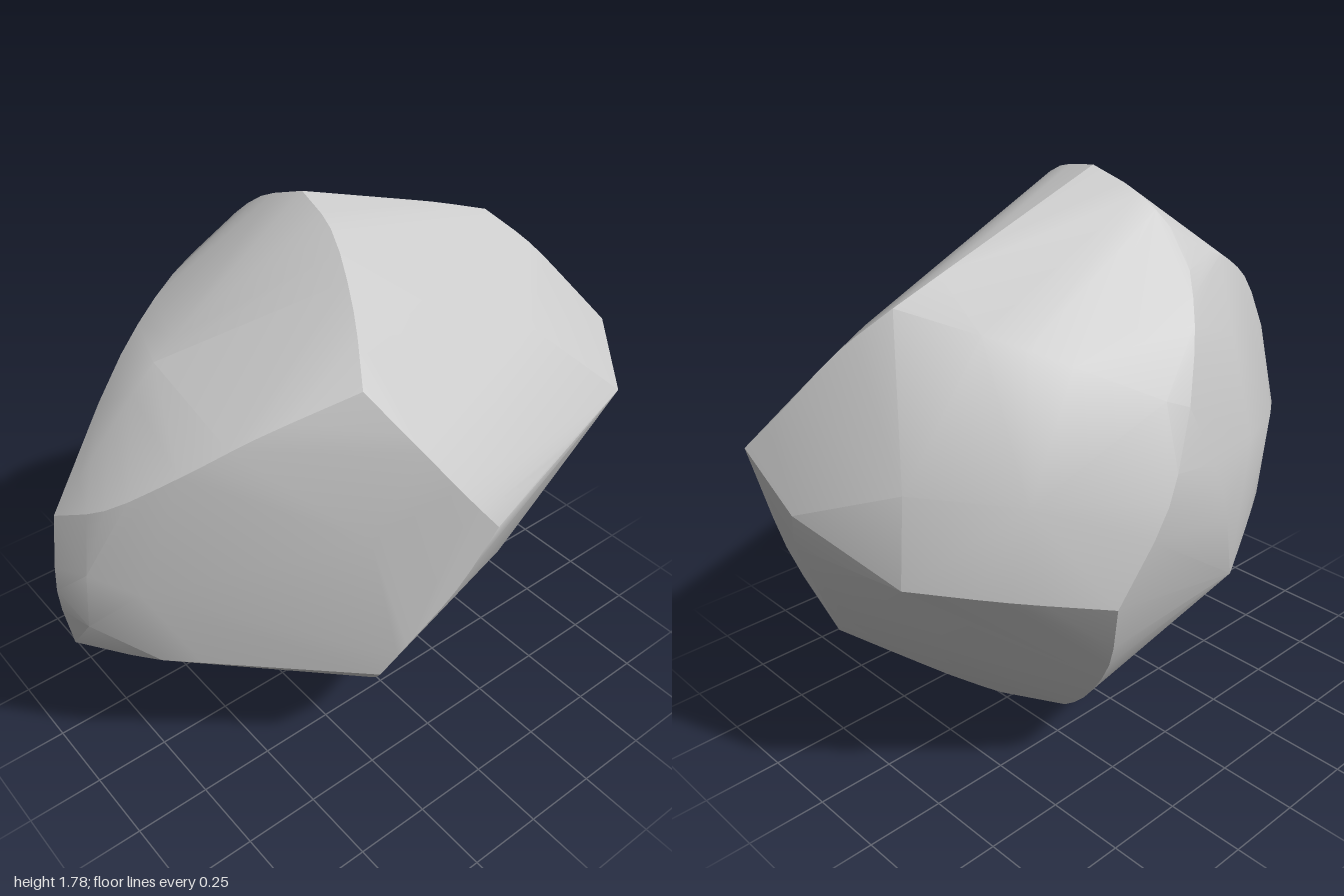
import * as THREE from 'three';
import { ConvexGeometry } from 'three/addons/geometries/ConvexGeometry.js';
import { toCreasedNormals } from 'three/addons/utils/BufferGeometryUtils.js';

const V = (x, y, z) => new THREE.Vector3(x, y, z);

// Corners where the broad facets of the boulder meet
const peak = V(-0.06, 1.785, -0.08);
const base = V(0.05, 0, -0.02);
const brow = V(-0.29, 1.49, 0.47);
const frontTop = V(0.03, 1.01, 0.7);
const frontLow = V(-0.28, 0.49, 0.56);
const frontSide = V(0.88, 0.97, 0.42);
const sideTop = V(1.0, 1.11, 0.22);
const sideLow = V(0.8, 0.46, 0.14);
const sideBack = V(0.87, 0.82, -0.295);
const shoulder = V(0.68, 1.51, -0.07);
const backTop = V(0.13, 1.24, -0.645);
const backLow = V(0.42, 0.73, -0.665);
const farLow = V(-0.97, 0.58, -0.06);
const farTop = V(-0.96, 1.07, -0.07);
const farBack = V(-0.2, 0.55, -0.57);
const backCrest = V(-0.11, 1.59, -0.39);

// Ridges run along the facet borders from corner to corner
const ridges = [
  [peak, V(0.2, 1.69, -0.08), V(0.45, 1.6, -0.08), shoulder],
  [shoulder, V(0.8, 1.39, 0.03), V(0.92, 1.23, 0.13), sideTop],
  [peak, V(-0.1, 1.75, 0.1), V(-0.2, 1.63, 0.32), brow],
  [brow, V(-0.18, 1.31, 0.6), V(-0.06, 1.13, 0.68), frontTop],
  [frontTop, V(0.45, 1.0, 0.56), frontSide],
  [frontSide, sideTop],
  [frontTop, V(-0.08, 0.8, 0.66), V(-0.22, 0.62, 0.61), frontLow],
  [frontLow, V(-0.18, 0.28, 0.41), V(-0.09, 0.09, 0.21), base],
  [frontLow, V(-0.5, 0.53, 0.38), V(-0.8, 0.57, 0.16), farLow],
  [frontSide, V(0.87, 0.72, 0.28), sideLow],
  [sideLow, V(0.6, 0.29, 0.09), V(0.4, 0.13, 0.02), V(0.24, 0.03, -0.04), base],
  [sideLow, V(0.86, 0.63, -0.07), sideBack],
  [sideBack, V(0.66, 0.78, -0.49), backLow],
  [backLow, V(0.35, 0.47, -0.57), V(0.29, 0.24, -0.41), V(0.21, 0.07, -0.21), base],
  [peak, V(-0.09, 1.72, -0.24), backCrest, V(0.0, 1.42, -0.54), backTop],
  [shoulder, V(0.46, 1.41, -0.35), V(0.2, 1.27, -0.62)],
  [backTop, V(0.26, 1.0, -0.695), backLow],
  [backTop, V(-0.05, 0.92, -0.635), farBack],
  [farLow, V(-0.72, 0.6, -0.28), V(-0.43, 0.6, -0.455), farBack],
  [farBack, V(-0.13, 0.31, -0.38), V(-0.05, 0.09, -0.19), base],
  [farLow, V(-1.0, 0.82, -0.05), farTop],
  [farTop, V(-0.83, 1.22, -0.05), V(-0.6, 1.44, -0.06), V(-0.38, 1.58, -0.08), peak],
  [farTop, V(-0.6, 1.37, -0.25), V(-0.35, 1.51, -0.34), backCrest],
  [farTop, V(-0.88, 1.15, 0.09), V(-0.72, 1.27, 0.23), V(-0.54, 1.38, 0.34), brow],
  [farLow, V(-0.65, 0.33, -0.08), V(-0.4, 0.16, -0.06), V(-0.2, 0.05, -0.04), base],
];

// Gentle swellings inside the facets
const swells = [
  V(0.35, 0.55, 0.43), V(0.3, 0.22, 0.22), V(0.5, 1.32, 0.33),
  V(-0.95, 0.93, 0.06), V(-0.96, 0.72, 0.04), V(-0.84, 0.86, 0.16),
  V(-0.62, 0.9, 0.32), V(-0.32, 1.05, 0.55),
  V(0.99, 0.97, 0.02), V(0.97, 0.85, 0.06), V(0.83, 1.08, -0.27), V(0.6, 1.05, -0.51),
  V(-0.3, 0.98, -0.54), V(-0.62, 0.92, -0.38), V(-0.82, 0.86, -0.24), V(-0.28, 1.3, -0.46),
];

export function createModel() {
  const points = [...swells];
  for (const ridge of ridges) {
    const curve = new THREE.CatmullRomCurve3(ridge, false, 'centripetal');
    const steps = (ridge.length - 1) * 3;
    for (let i = 0; i <= steps; i++) {
      const p = curve.getPoint(i / steps);
      p.y = Math.max(0, p.y);
      points.push(p);
    }
  }

  // Taut skin over the ridges, smooth across facets and sharp at their borders
  const geometry = toCreasedNormals(new ConvexGeometry(points), 0.48);
  const boulder = new THREE.Mesh(geometry, new THREE.MeshStandardMaterial({ color: 0xcccccc }));
  boulder.name = 'boulder';

  const group = new THREE.Group();
  group.name = 'rock';
  group.add(boulder);
  return group;
}
